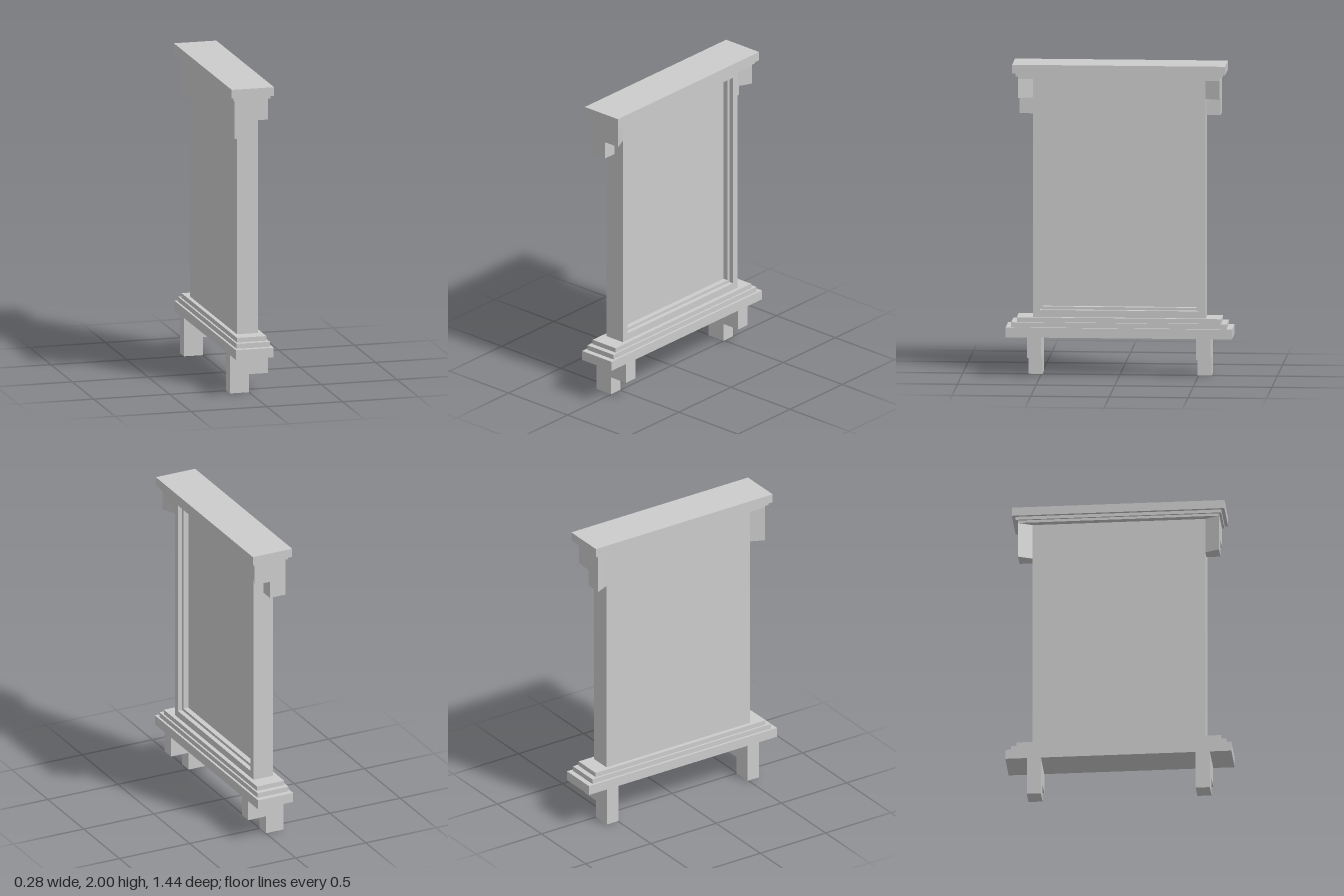
import * as THREE from 'three';

const material = new THREE.MeshStandardMaterial({ color: 0xcccccc, flatShading: true });

function add(group, name, geometry) {
  const mesh = new THREE.Mesh(geometry, material);
  mesh.name = name;
  group.add(mesh);
}

// Box given by its x, y and z ranges
function box([x0, x1], [y0, y1], [z0, z1]) {
  return new THREE.BoxGeometry(x1 - x0, y1 - y0, z1 - z0)
    .translate((x0 + x1) / 2, (y0 + y1) / 2, (z0 + z1) / 2);
}

// Plan outline of [x, z] points raised from y0 to y1
function prism(plan, y0, y1) {
  const shape = new THREE.Shape(plan.map(([x, z]) => new THREE.Vector2(x, -z)));
  return new THREE.ExtrudeGeometry(shape, { depth: y1 - y0, bevelEnabled: false })
    .rotateX(-Math.PI / 2).translate(0, y0, 0);
}

// Rectangular ring in the z-y plane with an opening, spanning x0 to x1
function ring(x0, x1, [halfZ, y0, y1], [openZ, openY0, openY1]) {
  const corners = (h, a, b) => [[-h, a], [h, a], [h, b], [-h, b]].map(p => new THREE.Vector2(...p));
  const shape = new THREE.Shape(corners(halfZ, y0, y1));
  shape.holes.push(new THREE.Path(corners(openZ, openY0, openY1)));
  return new THREE.ExtrudeGeometry(shape, { depth: x1 - x0, bevelEnabled: false })
    .rotateY(Math.PI / 2).translate(x0, 0, 0);
}

export function createModel() {
  const model = new THREE.Group();
  model.name = 'panelledWindow';

  // Stepped sill and cornice: half depth in x, half length in z, y range
  const slabs = [
    ['sillBase', 0.125, 0.72, 0.25, 0.313],
    ['sillMiddle', 0.11, 0.685, 0.313, 0.345],
    ['sillTop', 0.097, 0.65, 0.345, 0.375],
    ['corniceBottom', 0.11, 0.64, 1.905, 1.922],
    ['corniceMiddle', 0.122, 0.655, 1.922, 1.943],
    ['corniceTop', 0.14, 0.677, 1.943, 2],
  ];
  for (const [name, x, z, y0, y1] of slabs) add(model, name, box([-x, x], [y0, y1], [-z, z]));

  // Body: flat back, with a two-step recess on the +x side
  const outline = [0.55, 0.375, 1.905];
  add(model, 'backPanel', box([-0.07, 0.005], [0.375, 1.905], [-0.55, 0.55]));
  add(model, 'innerFrame', ring(0.005, 0.04, outline, [0.488, 0.438, 1.842]));
  add(model, 'outerFrame', ring(0.04, 0.07, outline, [0.505, 0.42, 1.858]));

  for (const s of [1, -1]) {
    const end = s > 0 ? 'front' : 'rear';

    // Bracket flaring outwards, dropping lower on its -x half
    const bracket = new THREE.Group();
    bracket.name = end + 'Bracket';
    const zIn = 0.55 * s, zOut = 0.64 * s;
    add(bracket, 'bracketTop',
      prism([[-0.07, zIn], [0.07, zIn], [0.11, zOut], [-0.11, zOut]], 1.783, 1.905));
    add(bracket, 'bracketDrop',
      prism([[-0.07, zIn], [0, zIn], [0, zOut], [-0.11, zOut]], 1.67, 1.783));
    model.add(bracket);

    // Stepped support under the sill
    const support = new THREE.Group();
    support.name = end + 'Support';
    const zRange = s > 0 ? [0.493, 0.583] : [-0.583, -0.493];
    add(support, 'supportTop', box([-0.125, 0.125], [0.118, 0.25], zRange));
    add(support, 'supportFoot', box([-0.125, 0], [0, 0.118], zRange));
    model.add(support);
  }
  return model;
}
